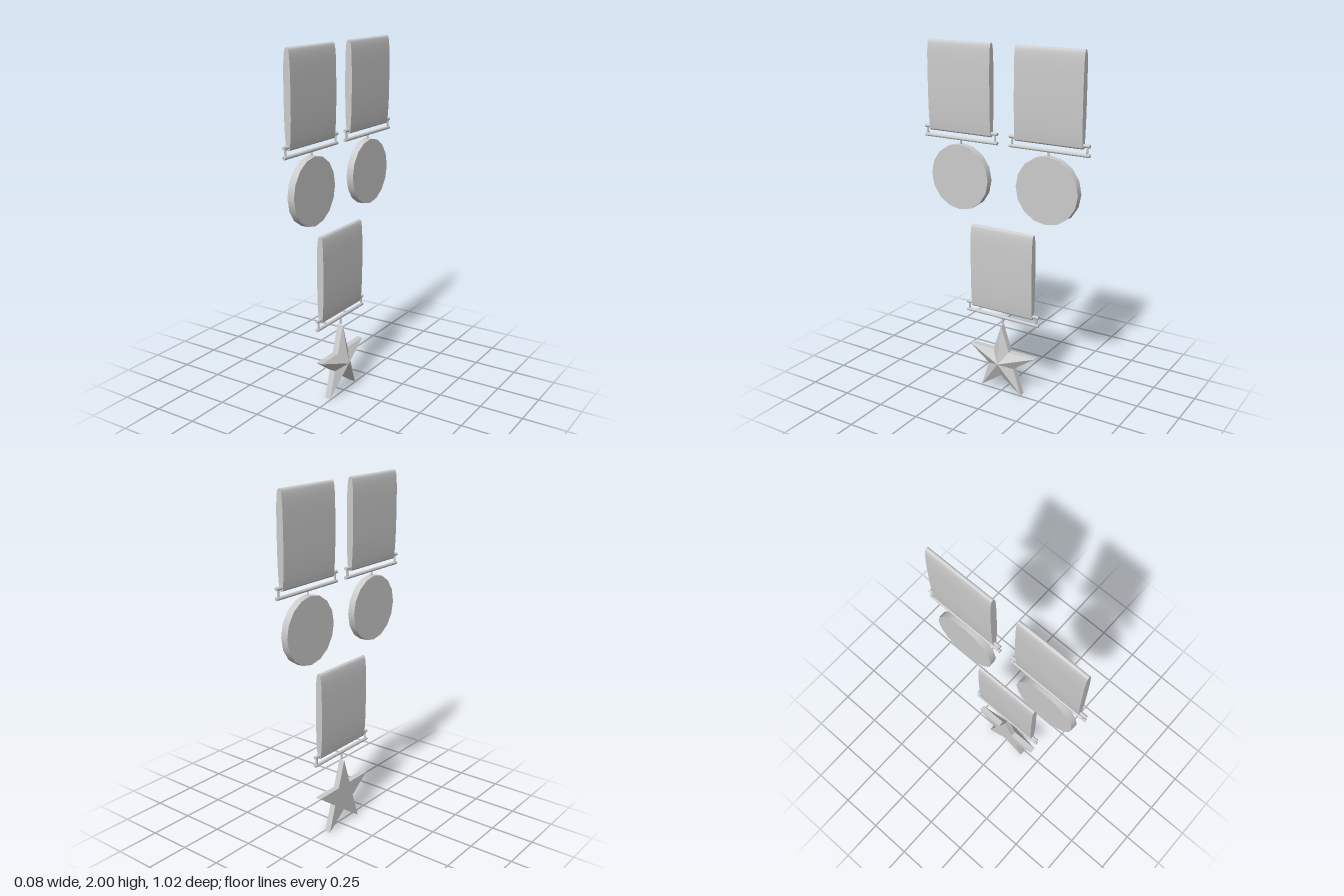
import * as THREE from 'three';
import { toCreasedNormals } from 'three/addons/utils/BufferGeometryUtils.js';

const grey = new THREE.MeshStandardMaterial({ color: 0xcccccc });
const flatGrey = new THREE.MeshStandardMaterial({ color: 0xcccccc, flatShading: true });

function part(name, geometry, parent, x = 0, y = 0, z = 0, material = grey) {
  const mesh = new THREE.Mesh(geometry, material);
  mesh.name = name;
  mesh.position.set(x, y, z);
  parent.add(mesh);
  return mesh;
}

// Pillow-shaped ribbon: a slim closed profile swept along z (y = 0 at the upper bar)
function ribbonGeometry() {
  const half = [
    [0.008, -0.017], [0.012, -0.008], [0.0135, 0.01], [0.017, 0.06], [0.02, 0.14],
    [0.0208, 0.24], [0.02, 0.36], [0.017, 0.43], [0.012, 0.465], [0.006, 0.477],
  ];
  const right = half.map(([x, y]) => new THREE.Vector2(x, y));
  const left = half.map(([x, y]) => new THREE.Vector2(-x, y)).reverse();
  const outline = new THREE.SplineCurve([
    new THREE.Vector2(0, -0.02), ...right, new THREE.Vector2(0, 0.48), ...left,
    new THREE.Vector2(0, -0.02),
  ]).getPoints(66);
  outline.pop();
  const geometry = new THREE.ExtrudeGeometry(new THREE.Shape(outline), { depth: 0.4, bevelEnabled: false });
  geometry.translate(0, 0, -0.2);
  return toCreasedNormals(geometry, 0.9);
}

// Five-pointed star facing +x: flat back, straight rim, faceted raised front
function starGeometry(outer, inner, back, front, apex) {
  const ring = (i, x) => {
    const a = (i * Math.PI) / 5, r = i % 2 ? inner : outer;
    return [x, r * Math.cos(a), r * Math.sin(a)];
  };
  const v = [];
  for (let i = 0; i < 10; i++) {
    const f0 = ring(i, front), f1 = ring(i + 1, front);
    const b0 = ring(i, back), b1 = ring(i + 1, back);
    v.push(...f0, ...f1, apex, 0, 0);
    v.push(...b1, ...b0, back, 0, 0);
    v.push(...b0, ...b1, ...f1, ...b0, ...f1, ...f0);
  }
  const geometry = new THREE.BufferGeometry();
  geometry.setAttribute('position', new THREE.Float32BufferAttribute(v, 3));
  geometry.computeVertexNormals();
  return geometry;
}

const ribbonShape = ribbonGeometry();
const barShape = new THREE.CylinderGeometry(0.0095, 0.0095, 0.474, 12).rotateX(Math.PI / 2);
const postShape = new THREE.CylinderGeometry(0.006, 0.006, 0.05, 10);
const linkShape = new THREE.CylinderGeometry(0.005, 0.005, 0.045, 10);

// Ribbon with its hanger frame; the origin lies on the upper bar
function hanger(name, y, z) {
  const group = new THREE.Group();
  group.name = name;
  group.position.set(-0.0205, y, z);
  part('ribbon', ribbonShape, group);
  part('upperBar', barShape, group);
  part('lowerBar', barShape, group, 0, -0.05);
  for (const side of [-1, 1]) part('barPost', postShape, group, 0, -0.025, side * 0.222);
  part('link', linkShape, group, 0, -0.073);
  return group;
}

export function createModel() {
  const model = new THREE.Group();
  model.name = 'medals';

  // Two round medals side by side
  const discShape = new THREE.CylinderGeometry(0.186, 0.186, 0.041, 16).rotateZ(Math.PI / 2);
  for (const side of [1, -1]) {
    const medal = hanger('roundMedal', 1.52, side * 0.275);
    part('disc', discShape, medal, 0, -0.265);
    model.add(medal);
  }

  // Star medal below
  const starMedal = hanger('starMedal', 0.51, 0.006);
  part('star', starGeometry(0.226, 0.0863, -0.0195, 0.0155, 0.058), starMedal, 0, -0.327, 0, flatGrey);
  model.add(starMedal);
  return model;
}
